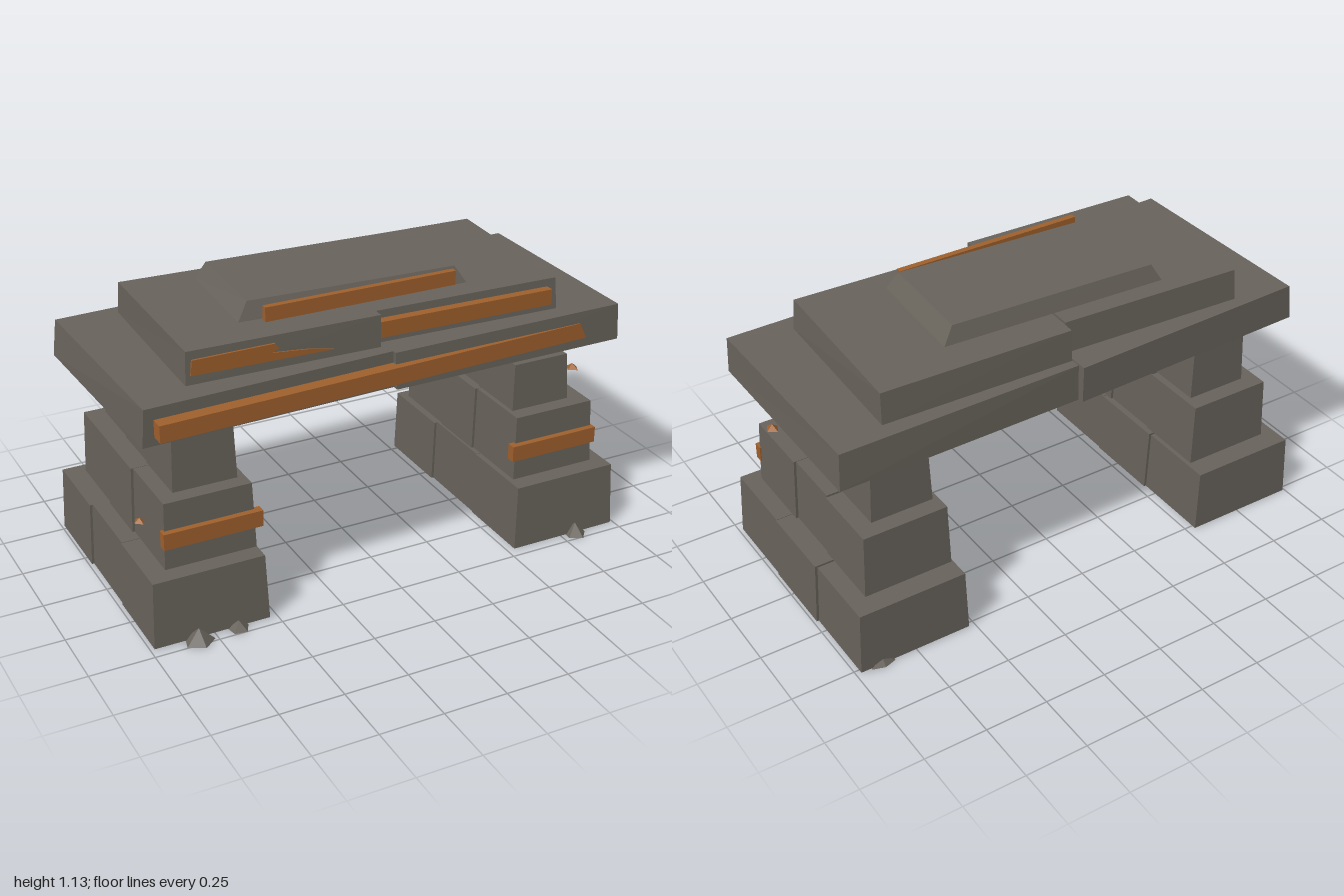
import * as THREE from 'three';

const stone = new THREE.MeshStandardMaterial({ color: 0x68635b, flatShading: true });
stone.name = 'weathered stone';
const wood = new THREE.MeshStandardMaterial({ color: 0xa0602c, flatShading: true });
wood.name = 'rusty wood';

// Block on a four-cornered plan: [backLeft, backRight, frontRight, frontLeft] as [x, z].
// The top plan may differ from the bottom one.
function block(name, mat, y0, y1, bottom, top = bottom) {
  const geo = new THREE.BoxGeometry(1, 1, 1);
  const p = geo.attributes.position;
  for (let i = 0; i < p.count; i++) {
    const right = p.getX(i) > 0, front = p.getZ(i) > 0, up = p.getY(i) > 0;
    const corner = front ? (right ? 2 : 3) : (right ? 1 : 0);
    const [x, z] = (up ? top : bottom)[corner];
    p.setXYZ(i, x, up ? y1 : y0, z);
  }
  geo.computeVertexNormals();
  const mesh = new THREE.Mesh(geo, mat);
  mesh.name = name;
  return mesh;
}

const rect = (x0, x1, z0, z1) => [[x0, z0], [x1, z0], [x1, z1], [x0, z1]];

// One pillar: three courses of three blocks, each course narrower than the one below
function pillar(side, name, topY) {
  const g = new THREE.Group();
  g.name = name;
  const courses = [
    { y: [0.008, 0.271], x: [0.53, 0.985], z: [0.456, 0.132, -0.19, -0.52], taper: 0.01 },
    { y: [0.279, 0.541], x: [0.55, 0.908], z: [0.387, 0.088, -0.155, -0.445], taper: 0.009 },
    { y: [0.545, topY], x: [0.582, 0.833], z: [0.323, 0.073, -0.155, -0.385], taper: 0.008 },
  ];
  courses.forEach((c, ci) => {
    for (let k = 0; k < 3; k++) {
      const shift = [0, 0.004, -0.005][(k + ci) % 3];
      const drop = k === 2 ? 0.006 : 0;
      const a = side * c.x[0] + shift, b = side * c.x[1] + shift;
      const x0 = Math.min(a, b), x1 = Math.max(a, b);
      const zf = c.z[k] - (k ? 0.002 : 0), zb = c.z[k + 1];
      const t = c.taper;
      g.add(block('pillarBlock', stone, c.y[0], c.y[1] - drop,
        rect(x0, x1, zb, zf),
        rect(x0 + t, x1 - t, zb - (k < 2 ? 0.003 : -0.004), zf - (k ? 0.003 : t))));
    }
  });
  // Plank strapped across the middle course
  const px = side > 0 ? [0.535, 0.913] : [-0.91, -0.525];
  g.add(block('pillarPlank', wood, 0.37, 0.434, rect(px[0], px[1], 0.37, 0.406)));
  return g;
}

// Small pointed shard
function shard(name, mat, x, y, z, w, h, d, sides, turn) {
  const mesh = new THREE.Mesh(new THREE.ConeGeometry(1, 1, sides), mat);
  mesh.name = name;
  mesh.scale.set(w, h, d);
  mesh.position.set(x, y + h / 2, z);
  mesh.rotation.y = turn;
  return mesh;
}

export function createModel() {
  const model = new THREE.Group();
  model.name = 'ruinedStoneGate';

  model.add(pillar(-1, 'rightPillar', 0.783), pillar(1, 'leftPillar', 0.735));

  // Capstone on the shorter pillar
  model.add(block('pillarCap', stone, 0.73, 0.803,
    rect(0.572, 0.785, -0.185, 0.062), rect(0.592, 0.782, -0.17, 0.045)));

  // Lower lintel, two slabs
  model.add(
    block('lowerLintelSlab', stone, 0.802, 0.945,
      [[-1.0, -0.44], [0.004, -0.478], [0.015, 0.39], [-0.975, 0.425]],
      [[-0.985, -0.437], [0, -0.475], [0.01, 0.388], [-0.965, 0.422]]),
    block('lowerLintelSlab', stone, 0.8, 0.945,
      [[0.006, -0.455], [0.988, -0.468], [0.99, 0.402], [0.015, 0.412]],
      [[0.006, -0.45], [0.978, -0.458], [0.985, 0.398], [0.01, 0.405]]));

  // Upper lintel, two slabs
  model.add(
    block('upperLintelSlab', stone, 0.945, 1.07,
      [[-0.75, -0.395], [-0.003, -0.358], [-0.012, 0.335], [-0.768, 0.315]],
      [[-0.745, -0.388], [-0.003, -0.35], [-0.012, 0.332], [-0.76, 0.308]]),
    block('upperLintelSlab', stone, 0.945, 1.07,
      [[0.008, -0.412], [0.775, -0.388], [0.75, 0.325], [-0.015, 0.298]],
      [[0.008, -0.405], [0.772, -0.38], [0.742, 0.318], [-0.015, 0.292]]));

  // Bevelled crown slab
  model.add(block('crownSlab', stone, 1.07, 1.136,
    [[-0.47, -0.298], [0.443, -0.253], [0.418, 0.208], [-0.497, 0.162]],
    [[-0.435, -0.275], [0.4, -0.235], [0.378, 0.182], [-0.452, 0.138]]));

  // Long plank, slanting into the lower lintel at one end
  model.add(block('lowerLintelPlank', wood, 0.835, 0.9,
    [[-0.93, 0.405], [0.84, 0.375], [0.84, 0.405], [-0.93, 0.477]],
    [[-0.93, 0.405], [0.81, 0.375], [0.81, 0.405], [-0.93, 0.475]]));

  // Planks on the upper lintel and the crown
  model.add(
    block('upperLintelPlank', wood, 0.978, 1.04,
      [[-0.02, 0.29], [0.708, 0.315], [0.708, 0.352], [-0.02, 0.33]]),
    block('crownPlank', wood, 1.074, 1.13,
      [[-0.413, 0.187], [0.365, 0.193], [0.365, 0.217], [-0.413, 0.211]]));

  // Broken plank, mostly sunk into the slab so only its jagged face shows
  const jagged = new THREE.Shape([
    [-0.748, 0.98], [-0.2, 0.975], [-0.3, 0.995], [-0.44, 1.008], [-0.415, 1.02], [-0.43, 1.042], [-0.742, 1.038],
  ].map(([x, y]) => new THREE.Vector2(x, y)));
  const broken = new THREE.Mesh(
    new THREE.ExtrudeGeometry(jagged, { depth: 0.008, bevelEnabled: false }), wood);
  broken.name = 'brokenPlank';
  broken.rotation.y = -0.028;
  broken.position.z = 0.332;
  model.add(broken);

  // Rubble at the feet of the pillars
  model.add(
    shard('rubble', stone, -0.82, 0.005, 0.475, 0.06, 0.055, 0.055, 5, 0.1),
    shard('rubble', stone, -0.66, 0.005, 0.465, 0.042, 0.034, 0.042, 5, 0.5),
    shard('rubble', stone, 0.81, 0.005, 0.46, 0.045, 0.05, 0.05, 5, 0.2),
    shard('rubble', stone, 0.89, 0.005, -0.51, 0.055, 0.035, 0.03, 6, 0));

  // Loose splinters beside the pillars
  model.add(
    shard('splinter', wood, 0.915, 0.614, 0.223, 0.026, 0.022, 0.03, 4, 0.3),
    shard('splinter', wood, -0.93, 0.398, 0.22, 0.022, 0.016, 0.026, 4, 0.2));

  return model;
}
